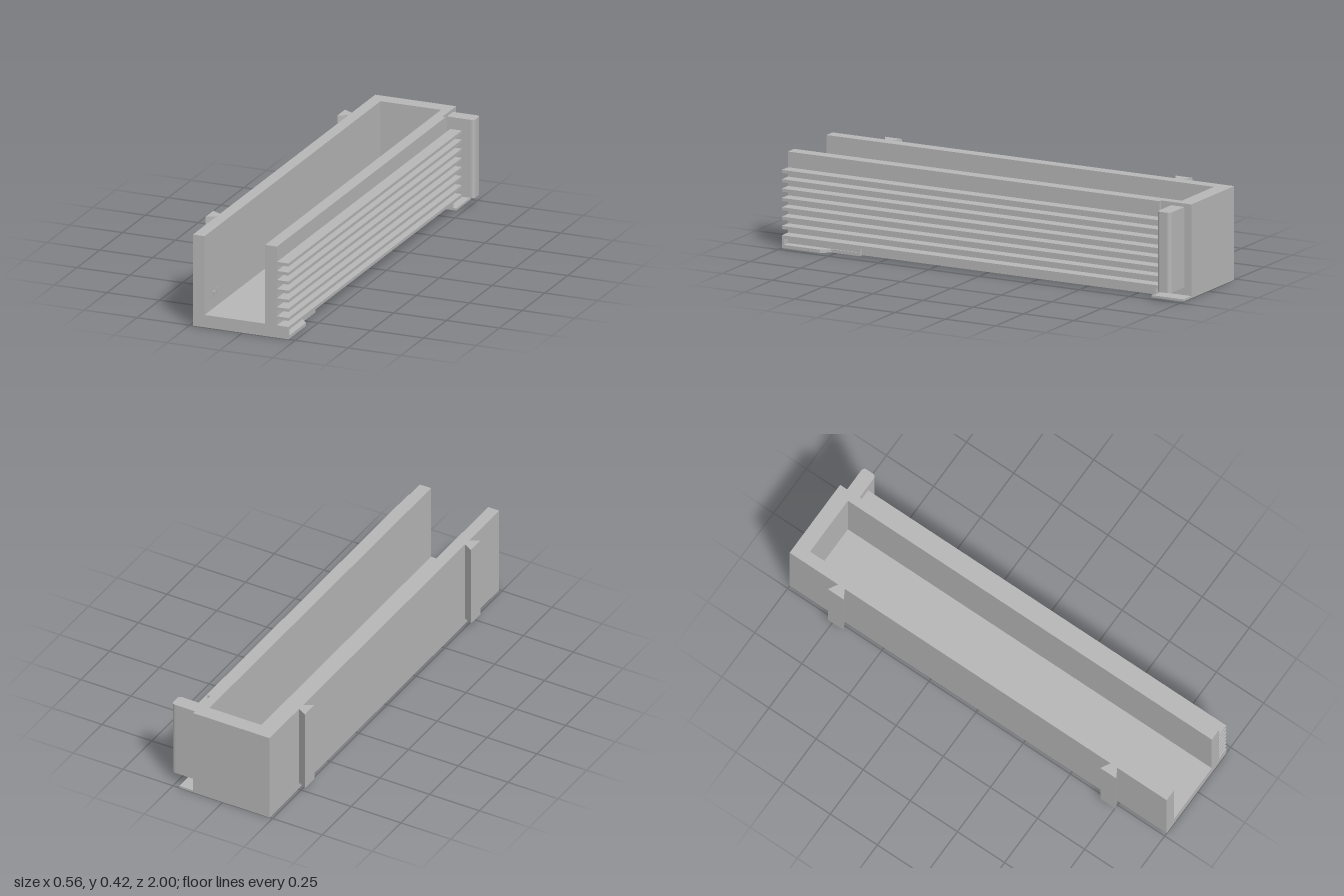
import * as THREE from 'three';

export function createModel() {
  const model = new THREE.Group();
  const grey = new THREE.MeshStandardMaterial({ color: 0xb8b8b8 });

  const add = (name, geometry) => {
    const mesh = new THREE.Mesh(geometry, grey);
    mesh.name = name;
    model.add(mesh);
  };
  // box given by its limits on each axis
  const box = (name, x0, x1, y0, y1, z0, z1) => {
    const g = new THREE.BoxGeometry(x1 - x0, y1 - y0, z1 - z0);
    g.translate((x0 + x1) / 2, (y0 + y1) / 2, (z0 + z1) / 2);
    add(name, g);
  };
  // upright prism from a plan outline; shape y is -z
  const prism = (name, shape, y0, y1) => {
    const g = new THREE.ExtrudeGeometry(shape, { depth: y1 - y0, bevelEnabled: false, curveSegments: 6 });
    g.rotateX(-Math.PI / 2);
    g.translate(0, y0, 0);
    add(name, g);
  };
  const plan = (points) => new THREE.Shape(points.map(([x, z]) => new THREE.Vector2(x, -z)));

  // Trough: floor and U-shaped walls, open at the front
  const outer = [[0.163, 1], [0.163, -0.85], [0.148, -0.85], [0.148, -1], [-0.235, -1], [-0.235, 1]];
  prism('floor', plan(outer), 0, 0.057);
  prism('walls', plan([...outer, [-0.18, 1], [-0.18, -0.93], [0.107, -0.93], [0.107, 1]]), 0.057, 0.42);

  // Cooling fins along the right wall
  for (let i = 0; i < 8; i++) {
    const top = 0.057 + i * 0.0418;
    box('fin', 0.163, 0.218, top - 0.014, top, -0.9, 1);
  }

  // Rounded upright at the back right
  const post = new THREE.Shape();
  post.moveTo(0.148, 0.9);
  post.lineTo(0.257, 0.9);
  post.quadraticCurveTo(0.277, 0.9, 0.277, 0.917);
  post.lineTo(0.277, 0.948);
  post.quadraticCurveTo(0.277, 0.966, 0.257, 0.966);
  post.lineTo(0.148, 0.966);
  prism('backPost', post, 0.045, 0.405);

  // Dovetail rails on the left wall
  for (const z of [0.72, -0.725]) {
    prism('dovetail', plan([[-0.235, z + 0.018], [-0.235, z - 0.018], [-0.278, z - 0.042], [-0.278, z + 0.042]]), 0.03, 0.42);
  }

  // Bottom flange at the back with a small stop
  box('backFlange', 0.148, 0.218, 0, 0.01, -1, -0.84);
  box('flangeStop', 0.163, 0.2, 0.01, 0.043, -0.85, -0.835);

  // Clip under the lowest fin at the front
  box('clipFront', 0.163, 0.218, 0, 0.045, 0.99, 1);
  prism('clipFoot', plan([[0.163, 0.99], [0.218, 0.99], [0.218, 0.81], [0.185, 0.77], [0.185, 0.63], [0.163, 0.63]]), 0, 0.015);
  box('clipRib', 0.163, 0.18, 0.015, 0.035, 0.63, 0.99);

  // Small catches on the inside of the left wall
  box('catch', -0.18, -0.171, 0.107, 0.138, 0.9, 0.912);
  box('catchMark', -0.18, -0.177, 0.107, 0.138, 0.855, 0.872);

  return model;
}
